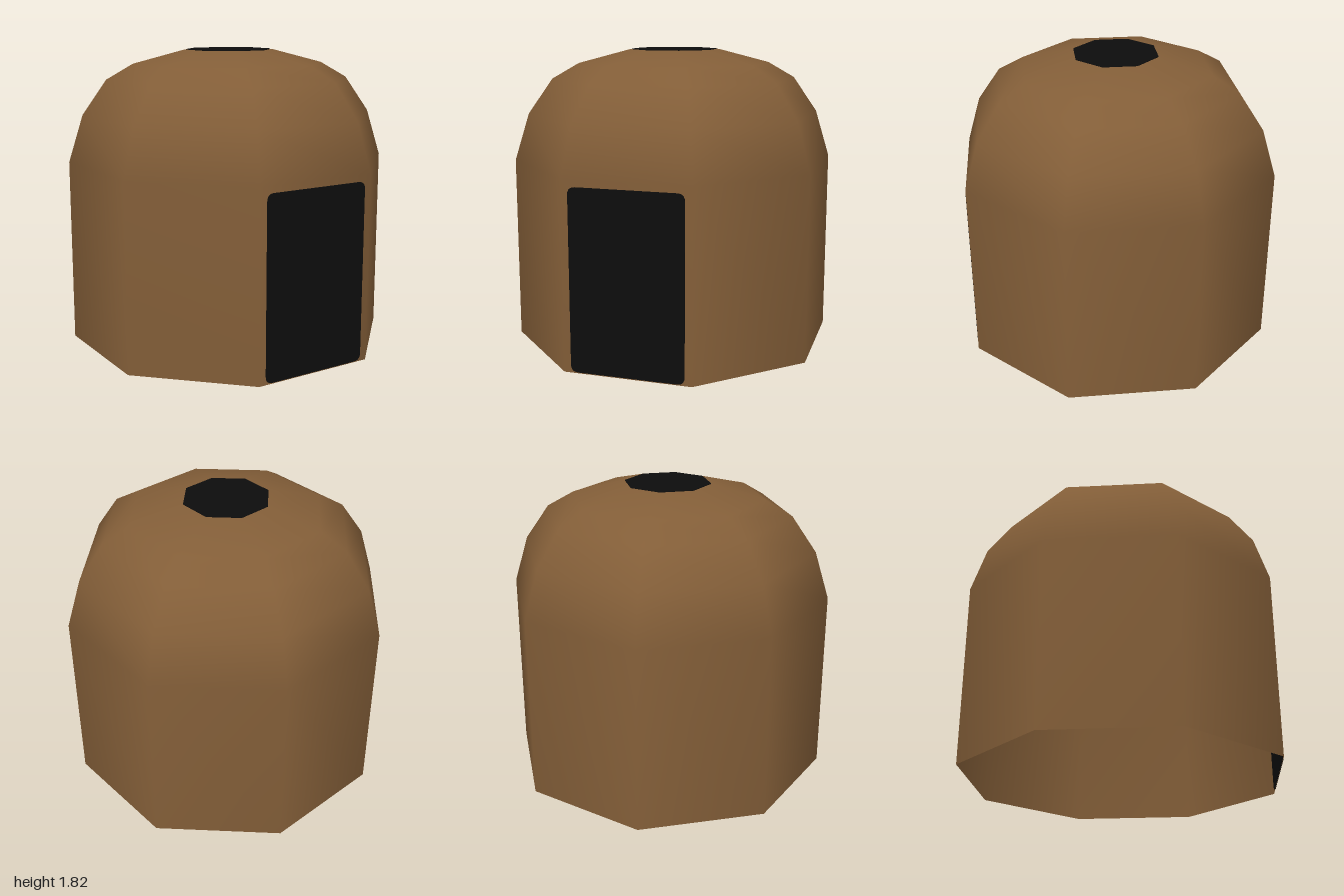
import * as THREE from 'three';

const SIDES = 8;
const APOTHEM = Math.cos(Math.PI / SIDES);

export function createModel() {
  const clay = new THREE.MeshStandardMaterial({ color: 0x835e38, side: THREE.DoubleSide });
  clay.name = 'brown hide';
  const dark = new THREE.MeshStandardMaterial({ color: 0x0d0d0d });
  dark.name = 'dark opening';

  const hut = new THREE.Group();
  hut.name = 'hut';

  // Octagonal wall curving into a domed roof, open at the bottom
  const profile = [[1, 0], [1, 1.13], [0.91, 1.42], [0.76, 1.635], [0.595, 1.73], [0.28, 1.813], [0, 1.813]]
    .map(([r, y]) => new THREE.Vector2(r, y));
  const shell = new THREE.Mesh(new THREE.LatheGeometry(profile, SIDES), clay);
  shell.name = 'shell';
  hut.add(shell);

  // Rounded doorway panel, set through the wall so it reads from both sides
  const w = 0.34, b = 0.006, t = 1.09, r = 0.045;
  const outline = new THREE.Shape();
  outline.moveTo(-w + r, b);
  outline.lineTo(w - r, b);
  outline.quadraticCurveTo(w, b, w, b + r);
  outline.lineTo(w, t - r);
  outline.quadraticCurveTo(w, t, w - r, t);
  outline.lineTo(-w + r, t);
  outline.quadraticCurveTo(-w, t, -w, t - r);
  outline.lineTo(-w, b + r);
  outline.quadraticCurveTo(-w, b, -w + r, b);
  const doorGeometry = new THREE.ExtrudeGeometry(outline, { depth: 0.008, bevelEnabled: false, curveSegments: 5 });
  doorGeometry.translate(0, 0, APOTHEM - 0.004);
  const doorway = new THREE.Mesh(doorGeometry, dark);
  doorway.name = 'doorway';
  doorway.rotation.y = Math.PI * 3 / SIDES;
  hut.add(doorway);

  // Smoke hole in the flat crown
  const smokeHole = new THREE.Mesh(new THREE.CylinderGeometry(0.265, 0.265, 0.008, SIDES), dark);
  smokeHole.name = 'smokeHole';
  smokeHole.position.y = 1.813;
  hut.add(smokeHole);

  return hut;
}
